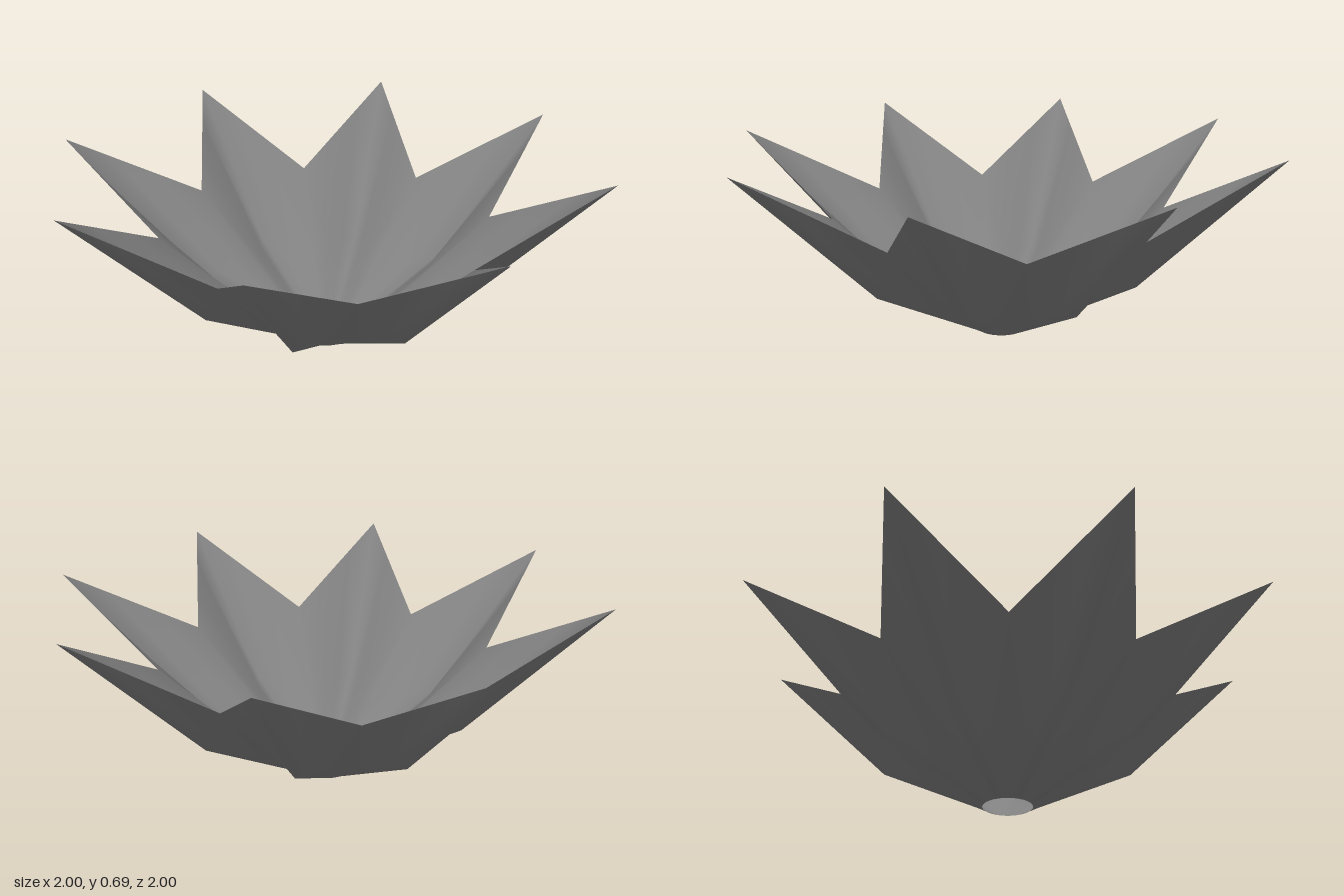
import * as THREE from 'three';

const PETALS = 8;
const STEPS = 3; // subdivisions between a petal ridge and the next valley

// Each ring: [radius, height] on the petal ridge and in the valley between petals
const RINGS = [
  { ridge: [0.09, 0], valley: [0.09, 0], round: true },
  { ridge: [0.5, 0.2], valley: [0.32, 0.18] },
  { ridge: [1, 0.695], valley: [0.606, 0.44] },
];

function polar([radius, height], angle) {
  return new THREE.Vector3(radius * Math.sin(angle), height, radius * Math.cos(angle));
}

// One closed star-shaped ring of points (or a circle for the base)
function ringPoints({ ridge, valley, round }) {
  const points = [];
  const half = Math.PI / PETALS;
  for (let i = 0; i < PETALS * 2; i++) {
    const from = i % 2 ? valley : ridge;
    const to = i % 2 ? ridge : valley;
    for (let s = 0; s < STEPS; s++) {
      const t = s / STEPS;
      points.push(round
        ? polar(ridge, (i + t) * half)
        : polar(from, i * half).lerp(polar(to, (i + 1) * half), t));
    }
  }
  return points;
}

// Skin joining the rings, open at the base and rim
function bowlGeometry() {
  const count = PETALS * 2 * STEPS;
  const points = RINGS.flatMap(ringPoints);
  const index = [];
  for (let r = 0; r < RINGS.length - 1; r++) {
    for (let i = 0; i < count; i++) {
      const j = (i + 1) % count;
      const a = r * count + i, b = r * count + j;
      const c = a + count, d = b + count;
      // mirror the diagonal on each side of a ridge
      if (Math.floor(i / STEPS) % 2) index.push(a, b, c, b, d, c);
      else index.push(a, b, d, a, d, c);
    }
  }
  const geometry = new THREE.BufferGeometry().setFromPoints(points);
  geometry.setIndex(index);
  geometry.computeVertexNormals();
  return geometry;
}

export function createModel() {
  const group = new THREE.Group();
  group.name = 'starBowl';
  const grey = new THREE.MeshStandardMaterial({ color: 0x808080, side: THREE.DoubleSide });
  grey.name = 'grey';
  const petals = new THREE.Mesh(bowlGeometry(), grey);
  petals.name = 'petals';
  group.add(petals);
  return group;
}
